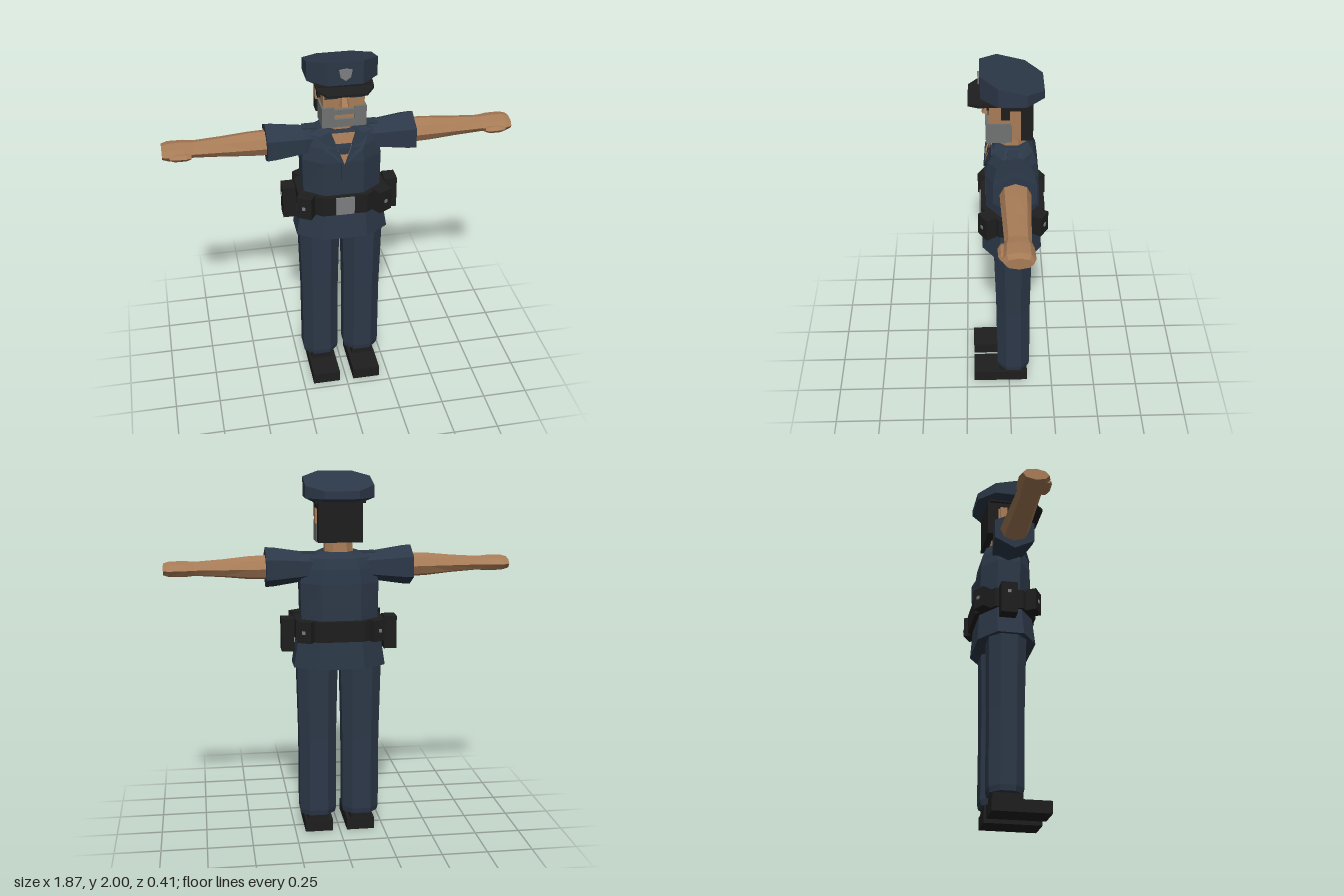
import * as THREE from 'three';

const mat = (name, color) => {
  const m = new THREE.MeshStandardMaterial({ color, flatShading: true });
  m.name = name;
  return m;
};

export function createModel() {
  const navy = mat('navy cloth', 0x2c3848);
  const skin = mat('skin', 0xa87c57);
  const black = mat('black leather', 0x1e1e1e);
  const gray = mat('gray hair', 0x707272);
  const metal = mat('metal', 0x7c7e80);
  const model = new THREE.Group();
  model.name = 'officer';

  const add = (name, geo, material) => {
    const mesh = new THREE.Mesh(geo, material);
    mesh.name = name;
    model.add(mesh);
    return mesh;
  };

  // Box given by its limits on each axis
  const box = (name, material, x0, x1, y0, y1, z0, z1) => {
    const mesh = add(name, new THREE.BoxGeometry(Math.abs(x1 - x0), y1 - y0, z1 - z0), material);
    mesh.position.set((x0 + x1) / 2, (y0 + y1) / 2, (z0 + z1) / 2);
    return mesh;
  };

  // Closed skin over a row of rings, turned outward by its signed volume
  const loft = (name, material, rings) => {
    const n = rings[0].length, tris = [];
    for (let r = 0; r + 1 < rings.length; r++) {
      for (let i = 0; i < n; i++) {
        const j = (i + 1) % n;
        const a = rings[r][i], b = rings[r][j], c = rings[r + 1][j], d = rings[r + 1][i];
        tris.push([a, b, c], [a, c, d]);
      }
    }
    const last = rings[rings.length - 1];
    for (let i = 1; i + 1 < n; i++) {
      tris.push([rings[0][0], rings[0][i + 1], rings[0][i]], [last[0], last[i], last[i + 1]]);
    }
    const v = (p) => new THREE.Vector3(...p);
    const volume = tris.reduce((s, [a, b, c]) => s + v(a).dot(v(b).cross(v(c))), 0);
    const pos = tris.flatMap(([a, b, c]) => (volume < 0 ? [a, c, b] : [a, b, c])).flat();
    const geo = new THREE.BufferGeometry();
    geo.setAttribute('position', new THREE.Float32BufferAttribute(pos, 3));
    geo.computeVertexNormals();
    return add(name, geo, material);
  };

  // Level eight-sided ring; y may be a function of z for a slanted ring
  const ring = (cx, y, rx, zf, zb, kx = 0.5, kz = 0.45) => {
    const c = (zf + zb) / 2, h = (zf - zb) / 2;
    return [[kx, 1], [1, kz], [1, -kz], [kx, -1], [-kx, -1], [-1, -kz], [-1, kz], [-kx, 1]]
      .map(([x, z]) => {
        const pz = c + z * h;
        return [cx + x * rx, typeof y === 'function' ? y(pz) : y, pz];
      });
  };

  // Upright ring across an arm
  const armRing = (x, cy, cz, ry, rz, n, turn = 0) => Array.from({ length: n }, (_, i) => {
    const a = turn + (i / n) * Math.PI * 2;
    return [x, cy + Math.sin(a) * ry, cz + Math.cos(a) * rz];
  });

  // Thin plate facing forward
  const plate = (name, material, pts, t = 0.008) =>
    loft(name, material, [pts, pts.map(([x, y, z]) => [x, y, z + t])]);

  // Shirt
  loft('shirt', navy, [
    [0.96, 0.25, 0.145, -0.175], [1.11, 0.226, 0.13, -0.165], [1.22, 0.208, 0.122, -0.16],
    [1.42, 0.212, 0.122, -0.155], [1.5, 0.195, 0.112, -0.145], [1.555, 0.172, 0.09, -0.125],
    [1.585, 0.1, 0.065, -0.1],
  ].map(([y, rx, f, b]) => ring(0, y, rx, f, b)));
  plate('shirtPlacket', navy, [[-0.015, 1.23, 0.122], [0.015, 1.23, 0.122],
    [0.015, 1.42, 0.122], [-0.015, 1.42, 0.122]], 0.004);
  plate('shirtOpening', skin, [[0, 1.41, 0.123], [0.035, 1.5, 0.113],
    [0.062, 1.575, 0.085], [-0.062, 1.575, 0.085], [-0.035, 1.5, 0.113]], 0.006);

  // Neck and head
  loft('neck', skin, [ring(0, 1.54, 0.08, 0.06, -0.09), ring(0, 1.66, 0.07, 0.055, -0.085)]);
  box('head', skin, -0.108, 0.108, 1.64, 1.88, -0.075, 0.103);
  box('hairBack', black, -0.118, 0.118, 1.64, 1.87, -0.122, -0.06);
  loft('nose', skin, [
    [[-0.012, 1.8, 0.1], [0.012, 1.8, 0.1], [0.012, 1.8, 0.106], [-0.012, 1.8, 0.106]],
    [[-0.027, 1.74, 0.1], [0.027, 1.74, 0.1], [0.016, 1.745, 0.136], [-0.016, 1.745, 0.136]],
  ]);

  // Beard, with an opening around the mouth
  box('beardChin', gray, -0.116, 0.116, 1.628, 1.67, -0.015, 0.118);
  box('moustache', gray, -0.055, 0.055, 1.698, 1.725, 0.09, 0.12);

  // Cap with a slanted crown, visor and badge
  const slope = (z) => 1.96 + 0.26 * z;
  loft('capCrown', navy, [
    ring(0, 1.855, 0.15, 0.13, -0.14), ring(0, 1.872, 0.183, 0.143, -0.178),
    ring(0, slope, 0.183, 0.145, -0.178),
  ]);
  const visor = [[0.15, 1.868, 0.08], [0.145, 1.86, 0.15], [0.1, 1.847, 0.205]];
  const visorTop = [...visor, ...visor.map(([x, y, z]) => [-x, y, z]).reverse()];
  loft('capVisor', black, [visorTop, visorTop.map(([x, y, z]) => [x, y - 0.012, z])]);
  box('capBand', black, -0.135, 0.135, 1.845, 1.87, -0.11, 0.132);
  plate('capBadge', metal, [[0, 1.9, 0.147], [0.026, 1.918, 0.147], [0.034, 1.958, 0.147],
    [0, 1.963, 0.147], [-0.034, 1.958, 0.147], [-0.026, 1.918, 0.147]]);

  // Belt and buckle
  loft('belt', black, [1.115, 1.225].map((y) => ring(0, y, 0.24, 0.148, -0.19)));
  box('buckle', metal, -0.05, 0.05, 1.12, 1.222, 0.145, 0.157);

  // Belt pouch with a snap on its outer face (local +z)
  const pouch = (name, x, y, z, h, w, d, turn) => {
    const group = new THREE.Group();
    group.name = name;
    const body = new THREE.Mesh(new THREE.BoxGeometry(w, h, d), black);
    body.name = name + 'Body';
    const snap = new THREE.Mesh(new THREE.BoxGeometry(0.018, 0.018, 0.006), metal);
    snap.name = name + 'Snap';
    snap.position.set(0, 1.172 - y, d / 2 + 0.002);
    group.add(body, snap);
    group.position.set(x, y, z);
    group.rotation.y = turn;
    model.add(group);
  };

  for (const s of [1, -1]) {
    const side = s > 0 ? 'left' : 'right';

    // Face
    box(side + 'Ear', skin, s * 0.1, s * 0.128, 1.735, 1.815, -0.05, -0.01);
    box(side + 'Sideburn', black, s * 0.1, s * 0.125, 1.765, 1.86, -0.005, 0.04);
    box(side + 'HairSide', black, s * 0.1, s * 0.122, 1.815, 1.86, -0.07, 0.04);
    box(side + 'Beard', gray, s * 0.052, s * 0.116, 1.67, 1.738, -0.015, 0.118);
    box(side + 'Eye', navy, s * 0.03, s * 0.1, 1.783, 1.815, 0.1, 0.108);
    box(side + 'Brow', black, s * 0.026, s * 0.108, 1.815, 1.832, 0.1, 0.111);

    // Collar flap and shoulder strap
    plate(side + 'Collar', navy, [[0, 1.41, 0.125], [s * 0.035, 1.5, 0.116],
      [s * 0.065, 1.585, 0.085], [s * 0.13, 1.56, 0.084], [s * 0.1, 1.49, 0.114]]);
    box(side + 'ShoulderStrap', navy, s * 0.07, s * 0.2, 1.572, 1.58, -0.05, 0.01);

    // Sleeve, arm and thumb
    loft(side + 'Sleeve', navy, [[0.14, 0.07, 0.085], [0.2, 0.082, 0.1], [0.35, 0.105, 0.122],
      [0.395, 0.108, 0.125]].map(([x, ry, rz]) =>
      armRing(s * x, 1.502, -0.022, ry, rz, 6, Math.PI / 6)));
    loft(side + 'Arm', skin, [
      [0.36, 0.066, 0.08], [0.48, 0.062, 0.076], [0.62, 0.048, 0.07], [0.77, 0.038, 0.064],
      [0.82, 0.043, 0.076], [0.9, 0.042, 0.08], [0.933, 0.032, 0.068],
    ].map(([x, ry, rz]) => armRing(s * x, 1.502, -0.024, ry, rz, 8)));
    loft(side + 'Thumb', skin, [[0.785, 0.012, 0.018], [0.81, 0.02, 0.028], [0.87, 0.02, 0.026],
      [0.895, 0.012, 0.016]].map(([x, ry, rz]) => armRing(s * x, 1.495, 0.045, ry, rz, 6)));

    // Belt pouches
    pouch(side + 'Holster', s * 0.28, 1.138, -0.035, 0.18, 0.09, 0.07, s * Math.PI / 2);
    pouch(side + 'FrontPouch', s * 0.207, 1.172, 0.118, 0.125, 0.085, 0.06, s * 0.55);
    pouch(side + 'BackPouch', s * 0.19, 1.172, -0.162, 0.115, 0.08, 0.055, s * (Math.PI - 0.55));

    // Trouser leg and shoe
    loft(side + 'Leg', navy, [[0.1, 0.096, 0.062, -0.112], [0.13, 0.102, 0.068, -0.118],
      [0.55, 0.102, 0.072, -0.116], [1.0, 0.112, 0.085, -0.122]]
      .map(([y, rx, f, b]) => ring(s * 0.12, y, rx, f, b)));
    box(side + 'Ankle', black, s * 0.06, s * 0.18, 0.06, 0.11, -0.098, 0.06);
    box(side + 'Shoe', black, s * 0.04, s * 0.195, 0, 0.066, -0.105, 0.208);
  }
  return model;
}
